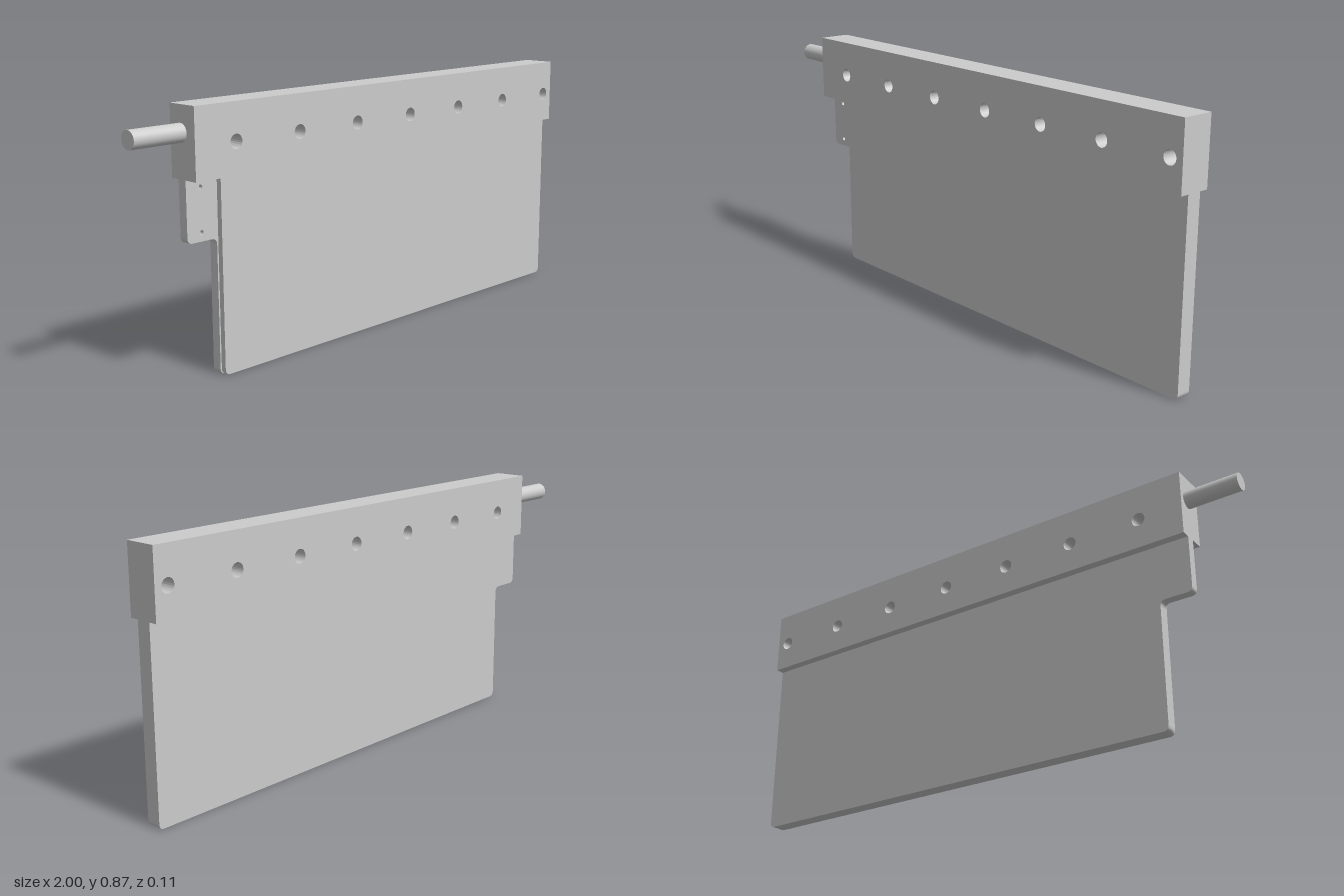
import * as THREE from 'three';

const BEAM_BOTTOM = 0.643, BEAM_TOP = 0.872, LEFT = -0.81, RIGHT = 1;
const PLATE_HALF = 0.026, TAB_FRONT = 0.007;

const material = new THREE.MeshStandardMaterial({ color: 0xcccccc });

function addMesh(parent, name, geometry) {
  const mesh = new THREE.Mesh(geometry, material);
  mesh.name = name;
  parent.add(mesh);
  return mesh;
}

// Extrude a shape between two z planes
function slab(shape, z0, z1) {
  const geometry = new THREE.ExtrudeGeometry(shape, {
    depth: z1 - z0, bevelEnabled: false, curveSegments: 12,
  });
  return geometry.translate(0, 0, z0);
}

function drill(shape, x, y, r) {
  shape.holes.push(new THREE.Path().absarc(x, y, r, 0, Math.PI * 2, true));
}

// Counter-clockwise outline with a rounded corner wherever a radius is given
function roundedOutline(points) {
  const shape = new THREE.Shape();
  const n = points.length;
  points.forEach(([x, y, r = 0], i) => {
    const corner = new THREE.Vector2(x, y);
    const toward = ([px, py]) =>
      new THREE.Vector2(px, py).sub(corner).setLength(r).add(corner);
    const a = r ? toward(points[(i + n - 1) % n]) : corner;
    if (i === 0) shape.moveTo(a.x, a.y);
    else shape.lineTo(a.x, a.y);
    if (r) {
      const b = toward(points[(i + 1) % n]);
      shape.quadraticCurveTo(x, y, b.x, b.y);
    }
  });
  shape.closePath();
  return shape;
}

export function createModel() {
  const group = new THREE.Group();
  group.name = 'clampedBlade';

  // Thick clamping beam with a row of bolt holes
  const beam = roundedOutline([
    [LEFT, BEAM_BOTTOM], [RIGHT, BEAM_BOTTOM], [RIGHT, BEAM_TOP], [LEFT, BEAM_TOP],
  ]);
  for (let i = 0; i < 7; i++) drill(beam, -0.65 + i * 0.267, 0.748, 0.024);
  addMesh(group, 'clampBeam', slab(beam, -0.057, 0.057));

  // Rear blade layer, with the side tab
  const rear = roundedOutline([
    [-0.695, 0, 0.02], [RIGHT, 0, 0.02], [RIGHT, BEAM_BOTTOM], [LEFT, BEAM_BOTTOM],
    [LEFT, 0.445, 0.02], [-0.695, 0.445, 0.022],
  ]);
  const pinHoles = [0.615, 0.473];
  pinHoles.forEach((y) => drill(rear, -0.755, y, 0.008));
  addMesh(group, 'rearBlade', slab(rear, -PLATE_HALF, TAB_FRONT));

  // Floors that make the tab holes blind
  for (const y of pinHoles) {
    const depth = 0.018;
    const floor = new THREE.CylinderGeometry(0.008, 0.008, depth, 24).rotateX(Math.PI / 2);
    addMesh(group, 'pinHoleFloor', floor).position.set(-0.755, y, -PLATE_HALF + depth / 2);
  }

  // Front blade layer, leaving the tab recessed
  const front = roundedOutline([
    [-0.69, 0, 0.02], [RIGHT, 0, 0.02], [RIGHT, BEAM_BOTTOM], [-0.69, BEAM_BOTTOM],
  ]);
  addMesh(group, 'frontBlade', slab(front, TAB_FRONT, PLATE_HALF));

  // Drive rod at the end of the beam
  const rod = new THREE.CylinderGeometry(0.03, 0.03, 0.19, 40).rotateZ(Math.PI / 2);
  addMesh(group, 'rod', rod).position.set(-0.905, 0.786, -0.01);

  return group;
}
